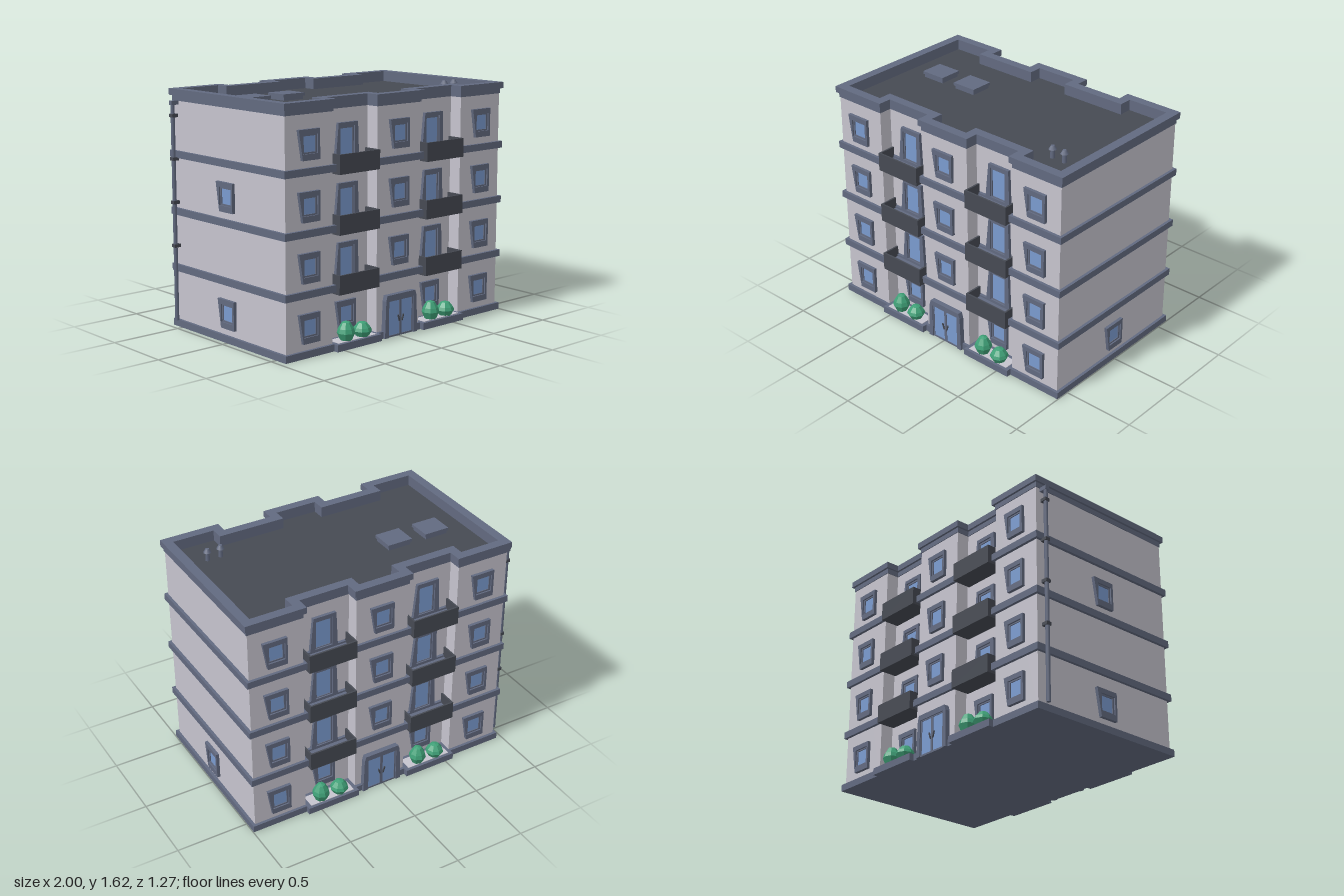
import * as THREE from 'three';

const mat = (name, color, extra = {}) => {
  const m = new THREE.MeshStandardMaterial({ color, ...extra });
  m.name = name;
  return m;
};

export function createModel() {
  const wall = mat('plaster', 0xc6c4ce);
  const trim = mat('slateTrim', 0x626a80);
  const dark = mat('darkRoof', 0x464a53);
  const glass = mat('glass', 0x7a9bcf);
  const green = mat('leaves', 0x3fa077, { flatShading: true });

  const X = 0.959, Z = 0.577, R = 0.485; // half width, half depth, recessed half depth
  const B1 = 0.193, B2 = 0.577;          // edges of the recessed bays
  const CX = 0.017, STEP = 0.386;        // building centre, storey height and bay width

  const add = (parent, name, geo, material, x = 0, y = 0, z = 0) => {
    const m = new THREE.Mesh(geo, material);
    m.name = name;
    m.position.set(x, y, z);
    parent.add(m);
    return m;
  };
  const box = (parent, name, material, w, h, d, x, y, z) =>
    add(parent, name, new THREE.BoxGeometry(w, h, d), material, x, y, z);
  const group = (parent, name) => {
    const g = new THREE.Group();
    g.name = name;
    parent.add(g);
    return g;
  };
  const poly = (pts) => pts.map(([x, y]) => new THREE.Vector2(x, y));
  const extrude = (shape, depth) => new THREE.ExtrudeGeometry(shape, { depth, bevelEnabled: false });

  // Floor plan with two recessed bays on each long side, grown by o
  const plan = (o) => {
    const x = X + o, z = Z + o, r = R + o, a = B1 + o, b = B2 - o;
    const edge = [[x, z], [b, z], [b, r], [a, r], [a, z], [-a, z], [-a, r], [-b, r], [-b, z], [-x, z]];
    return poly([...edge, ...edge.map(([px, pz]) => [-px, -pz])]);
  };
  const slab = (o, h, inner) => {
    const s = new THREE.Shape(plan(o));
    if (inner !== undefined) s.holes.push(new THREE.Path(plan(inner)));
    return extrude(s, h).rotateX(-Math.PI / 2);
  };

  // Frame with a slanted outer edge and a rectangular opening
  const frame = (outer, [x0, y0, x1, y1], depth) => {
    const s = new THREE.Shape(poly(outer));
    s.holes.push(new THREE.Path(poly([[x0, y0], [x0, y1], [x1, y1], [x1, y0]])));
    return extrude(s, depth);
  };
  const rect = (x0, y0, x1, y1) => [[x0, y0], [x1, y0], [x1, y1], [x0, y1]];

  // Shared window parts, centred on the glass and facing +z
  const winOuter = frame([[-0.062, -0.1], [0.077, -0.1], [0.077, 0.093], [-0.094, 0.093]],
    [-0.06, -0.06, 0.06, 0.06], 0.022);
  const winInner = frame(rect(-0.061, -0.061, 0.061, 0.061), [-0.047, -0.05, 0.047, 0.05], 0.012);
  const pane = new THREE.BoxGeometry(0.1, 0.106, 0.006);
  const addWindow = (parent, x, y, z, turn = 0) => {
    const g = group(parent, 'window');
    add(g, 'windowSurround', winOuter, trim);
    add(g, 'windowFrame', winInner, trim);
    add(g, 'windowPane', pane, glass, 0, 0, 0.003);
    g.position.set(x, y, z);
    g.rotation.y = turn;
  };

  const balconyDoorOuter = frame([[-0.1, -0.15], [0.1, -0.15], [0.09, 0.093], [-0.075, 0.093]],
    [-0.062, -0.14, 0.062, 0.068], 0.022);
  const balconyDoorInner = frame(rect(-0.063, -0.145, 0.063, 0.07), [-0.052, -0.135, 0.052, 0.055], 0.012);
  const addBalcony = (parent, x, y) => {
    const g = group(parent, 'balcony');
    g.position.set(x, y, 0);
    add(g, 'doorSurround', balconyDoorOuter, trim, 0, 0, R);
    add(g, 'doorFrame', balconyDoorInner, trim, 0, 0, R);
    box(g, 'doorPane', glass, 0.106, 0.2, 0.006, 0, -0.04, R + 0.003);
    // Solid tray with a paved floor and three parapet panels
    box(g, 'balconySlab', dark, 0.345, 0.045, 0.135, 0, -0.19, 0.557);
    box(g, 'balconyFloor', trim, 0.325, 0.008, 0.125, 0, -0.165, 0.55);
    box(g, 'balconyFront', dark, 0.345, 0.127, 0.012, 0, -0.149, 0.62);
    for (const s of [-1, 1]) box(g, 'balconySide', dark, 0.012, 0.127, 0.12, s * 0.1665, -0.149, 0.557);
  };

  const bushGeo = new THREE.LatheGeometry(
    poly([[0, 0], [0.038, 0], [0.06, 0.4], [0.052, 0.62], [0.028, 0.93], [0, 1]]), 8);
  const addPlanter = (parent, x) => {
    const g = group(parent, 'planter');
    g.position.x = x;
    box(g, 'planterCurb', trim, 0.385, 0.047, 0.15, 0, 0.0235, 0.555);
    box(g, 'planterBed', wall, 0.33, 0.006, 0.1, 0, 0.047, 0.56);
    add(g, 'tallBush', bushGeo, green, -0.07, 0.045, 0.572).scale.y = 0.13;
    const low = add(g, 'lowBush', bushGeo, green, 0.072, 0.045, 0.572);
    low.scale.set(1.06, 0.1, 1.06);
  };

  const addEntrance = (parent) => {
    const g = group(parent, 'entrance');
    g.position.z = Z;
    const s = new THREE.Shape(poly([[-0.148, 0], [-0.113, 0], [-0.113, 0.25], [0.113, 0.25],
      [0.113, 0], [0.148, 0], [0.14, 0.25], [0.128, 0.287], [-0.128, 0.287], [-0.138, 0.25]]));
    add(g, 'entranceSurround', extrude(s, 0.036), trim);
    for (const side of [-1, 1]) {
      add(g, 'entranceDoorFrame', frame(rect(-0.057, 0, 0.057, 0.252), [-0.047, 0.012, 0.047, 0.242], 0.028),
        trim, side * 0.057);
      box(g, 'entrancePane', glass, 0.1, 0.236, 0.024, side * 0.057, 0.127, 0.012);
      const handle = box(g, 'doorHandle', dark, 0.008, 0.045, 0.008, side * 0.018, 0.12, 0.03);
      handle.rotation.z = -side * 0.3;
    }
  };

  const model = new THREE.Group();
  model.name = 'apartmentBlock';
  const house = group(model, 'building');
  house.position.x = CX;

  // Walls with the flat roof as their top
  add(house, 'wallsAndRoof', slab(0, 1.53), [dark, wall], 0, 0.01);
  add(house, 'basePlinth', slab(0.02, 0.047), trim);
  for (let i = 1; i < 4; i++) add(house, 'floorBand', slab(0.02, 0.047), trim, 0, i * STEP - 0.001);
  add(house, 'corniceLower', slab(0.005, 0.037, -0.045), trim, 0, 1.536);
  add(house, 'parapet', slab(0.02, 0.043, -0.045), trim, 0, 1.571);

  // Both long facades share one layout
  for (const turn of [0, Math.PI]) {
    const f = group(house, turn ? 'backFacade' : 'frontFacade');
    f.rotation.y = turn;
    for (let floor = 0; floor < 4; floor++) {
      const y = 0.194 + floor * STEP;
      for (let bay = -2; bay <= 2; bay++) {
        const recessed = Math.abs(bay) === 1;
        if (recessed && floor > 0) addBalcony(f, bay * STEP, y);
        else if (bay !== 0 || floor > 0) addWindow(f, bay * STEP, y, recessed ? R : Z);
      }
    }
    for (const s of [-1, 1]) addPlanter(f, s * STEP);
    addEntrance(f);
  }

  // End-wall windows
  addWindow(house, X, 0.194, 0, Math.PI / 2);
  for (const floor of [0, 2]) addWindow(house, -X, 0.194 + floor * STEP, 0, -Math.PI / 2);

  // Roof hatches
  for (const x of [-0.655, -0.367]) {
    box(model, 'roofHatchBase', trim, 0.165, 0.03, 0.15, x, 1.55, -0.1);
    box(model, 'roofHatchLid', trim, 0.182, 0.02, 0.165, x, 1.573, -0.1);
  }
  // Roof vents
  for (const x of [0.694, 0.788]) {
    add(model, 'ventPipe', new THREE.CylinderGeometry(0.014, 0.016, 0.06, 8), trim, x, 1.57, 0.323);
    add(model, 'ventCap', new THREE.CylinderGeometry(0.012, 0.027, 0.026, 8), trim, x, 1.612, 0.323);
  }

  // Drainpipe with elbow and clamps
  const px = -0.981, pz = -0.53;
  add(model, 'drainpipe', new THREE.CylinderGeometry(0.014, 0.014, 1.47, 8), trim, px, 0.785, pz);
  box(model, 'drainpipeElbow', trim, 0.06, 0.028, 0.03, px + 0.014, 1.525, pz);
  for (const y of [0.565, 0.86, 1.152, 1.44])
    box(model, 'drainpipeClamp', dark, 0.046, 0.022, 0.036, px + 0.007, y, pz);

  return model;
}
